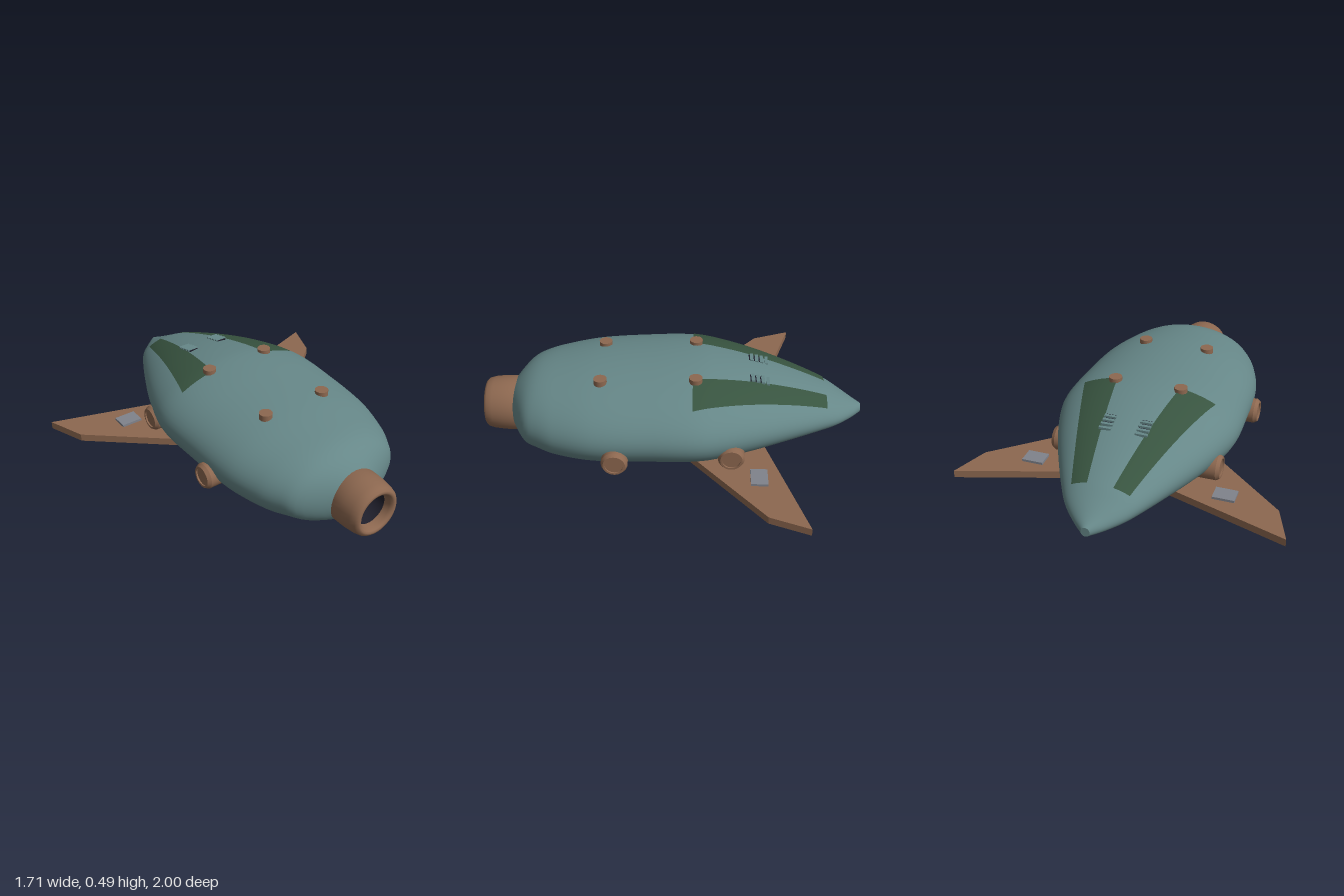
import * as THREE from 'three';

const mat = (name, color, side = THREE.FrontSide) => {
  const m = new THREE.MeshStandardMaterial({ color, side });
  m.name = name;
  return m;
};

// Hull stations: z, half width, bottom y, top y
const STATIONS = [
  [-1, 0.022, 0.17, 0.22], [-0.95, 0.075, 0.154, 0.243], [-0.87, 0.148, 0.138, 0.285],
  [-0.8, 0.195, 0.125, 0.322], [-0.6, 0.3, 0.092, 0.392], [-0.4, 0.392, 0.06, 0.446],
  [-0.2, 0.462, 0.033, 0.482], [-0.08, 0.481, 0.028, 0.49], [0.1, 0.478, 0.022, 0.488],
  [0.4, 0.458, 0.008, 0.472], [0.6, 0.402, 0.013, 0.447], [0.7, 0.35, 0.029, 0.427],
  [0.76, 0.305, 0.04, 0.4], [0.81, 0.215, 0.058, 0.36], [0.84, 0.145, 0.08, 0.325],
];

// Smooth interpolation of the stations at a given z
function section(z) {
  const S = STATIONS, n = S.length;
  let i = 0;
  while (i < n - 2 && z > S[i + 1][0]) i++;
  const h = S[i + 1][0] - S[i][0], t = (z - S[i][0]) / h;
  const slope = (k, c) => {
    const a = S[Math.max(k - 1, 0)], b = S[Math.min(k + 1, n - 1)];
    return (b[c] - a[c]) / (b[0] - a[0]);
  };
  const [w, lo, hi] = [1, 2, 3].map((c) =>
    (2 * t ** 3 - 3 * t ** 2 + 1) * S[i][c] + (t ** 3 - 2 * t ** 2 + t) * h * slope(i, c) +
    (3 * t ** 2 - 2 * t ** 3) * S[i + 1][c] + (t ** 3 - t ** 2) * h * slope(i + 1, c));
  return { w, cy: (lo + hi) / 2, h: (hi - lo) / 2 };
}

// Height of the upper hull skin
function skinY(x, z) {
  const s = section(z);
  return s.cy + s.h * Math.sqrt(Math.max(0, 1 - (x / s.w) ** 2));
}

// Grid of points joined by quads; point(u, v) with u and v in 0..1
function surface(nu, nv, point, closed) {
  const pos = [], idx = [], cols = closed ? nu : nu + 1;
  for (let j = 0; j <= nv; j++)
    for (let i = 0; i < cols; i++) pos.push(...point(i / nu, j / nv));
  for (let j = 0; j < nv; j++)
    for (let i = 0; i < nu; i++) {
      const k = (i + 1) % cols;
      const a = j * cols + i, b = j * cols + k, c = b + cols, d = a + cols;
      idx.push(a, b, d, b, c, d);
    }
  const g = new THREE.BufferGeometry();
  g.setAttribute('position', new THREE.Float32BufferAttribute(pos, 3));
  g.setIndex(idx);
  g.computeVertexNormals();
  return g;
}

// Lathe whose corners stay crisp
function turned(points, segments = 40) {
  return new THREE.LatheGeometry(points.map((p) => new THREE.Vector2(...p)), segments);
}

export function createModel() {
  const model = new THREE.Group();
  const hullMat = mat('teal hull', 0x668788);
  const copper = mat('copper brown', 0x8d6850);
  const green = mat('dark green glass', 0x385440, THREE.DoubleSide);
  const grey = mat('grey metal', 0x80838c);
  const dark = mat('dark exhaust', 0x1e1e2a, THREE.DoubleSide);

  const add = (name, geo, material, x = 0, y = 0, z = 0) => {
    const m = new THREE.Mesh(geo, material);
    m.name = name;
    m.position.set(x, y, z);
    model.add(m);
    return m;
  };

  // Hull loft
  add('hull', surface(64, 96, (u, v) => {
    const z = -1 + 1.84 * v, s = section(z), a = u * Math.PI * 2;
    return [s.w * Math.cos(a), s.cy + s.h * Math.sin(a), z];
  }, true), hullMat);

  // Flat ends of the hull
  for (const [name, z] of [['noseCap', -1], ['sternCap', 0.84]]) {
    const s = section(z);
    const g = new THREE.CircleGeometry(1, 48);
    if (z < 0) g.rotateY(Math.PI);
    add(name, g.scale(s.w, s.h, 1), hullMat, 0, s.cy, z);
  }

  // Main engine nozzle with rounded lip, and its dark throat
  add('engineNozzle', turned([[0.13, 0.78], [0.147, 0.83], [0.146, 0.9], [0.14, 0.955],
    [0.132, 0.985], [0.12, 0.998], [0.11, 1], [0.1, 0.996], [0.092, 0.982], [0.088, 0.95]])
    .rotateX(Math.PI / 2), copper, 0, 0.19, 0);
  add('engineThroat', turned([[0, 0.87], [0.04, 0.878], [0.07, 0.9], [0.085, 0.93], [0.089, 0.955]])
    .rotateX(Math.PI / 2), dark, 0, 0.19, 0);

  // Wing outline, drawn as x and -z so that extrusion runs upward
  const wingShape = new THREE.Shape(
    [[0.2, 0.465], [0.2, -0.025], [0.78, 0.475], [0.855, 0.675]].map((p) => new THREE.Vector2(...p)));

  for (const side of [1, -1]) {
    const tag = side > 0 ? 'left' : 'right';

    // Wing and its access plate
    const wing = new THREE.ExtrudeGeometry(wingShape, { depth: 0.04, bevelEnabled: false })
      .rotateX(-Math.PI / 2);
    if (side < 0) wing.rotateZ(Math.PI).translate(0, 0.04, 0);
    add(tag + 'Wing', wing, copper, 0, 0.08, 0);
    add(tag + 'WingPlate', new THREE.BoxGeometry(0.113, 0.014, 0.086), grey, side * 0.506, 0.126, -0.443);

    // Side thrusters: chamfered discs with a recessed face
    for (const [name, z, out] of [['RearThruster', 0.28, 0.505], ['FrontThruster', -0.304, 0.45]]) {
      const rings = [[[0.067, -0.15], [0.067, -0.018]], [[0.067, -0.018], [0.056, 0]],
        [[0.056, 0], [0.046, 0]], [[0.046, 0], [0.046, -0.008]], [[0.046, -0.008], [0, -0.008]]];
      const group = new THREE.Group();
      group.name = tag + name;
      for (const r of rings) {
        const m = new THREE.Mesh(turned(r, 32), copper);
        m.name = 'thrusterRing';
        group.add(m);
      }
      group.rotation.z = -side * Math.PI / 2;
      group.position.set(side * out, 0.182, z);
      model.add(group);
    }

    // Round studs on the roof
    for (const [z, top] of [[-0.12, 0.495], [0.365, 0.48]])
      add(tag + 'RoofStud', new THREE.CylinderGeometry(0.034, 0.034, 0.05, 24), copper,
        side * 0.176, top - 0.025, z);

    // Long canopy window following the hull skin
    add(tag + 'Window', surface(12, 30, (u, v) => {
      const z = -0.105 - 0.7 * v;
      const inner = THREE.MathUtils.lerp(0.17, 0.065, v), outer = THREE.MathUtils.lerp(0.357, 0.145, v);
      const [a, b] = side > 0 ? [inner, outer] : [-outer, -inner];
      const x = a + (b - a) * u;
      return [x, skinY(x, z) + 0.005, z];
    }), green);

    // Stepped vent beside the window: two rails and dark-gapped slats
    const zc = -0.44, vx = side * 0.093;
    const vent = new THREE.Group();
    vent.name = tag + 'Vent';
    const box = (name, w, h, d, x, y, z, m) => {
      const b = new THREE.Mesh(new THREE.BoxGeometry(w, h, d), m);
      b.name = name;
      b.position.set(x, y, z);
      vent.add(b);
    };
    for (const k of [-1, 0, 1]) {
      const z = zc + k * 0.026;
      box('slat', 0.062, 0.014, 0.017, 0, skinY(vx, z) + 0.003, z, hullMat);
      box('slot', 0.05, 0.008, 0.005, 0, skinY(vx, z + 0.012) + 0.001, z + 0.012, dark);
    }
    box('rail', 0.062, 0.014, 0.016, 0, skinY(vx, -0.492) + 0.003, -0.492, hullMat);
    vent.position.x = vx;
    model.add(vent);
  }
  return model;
}
